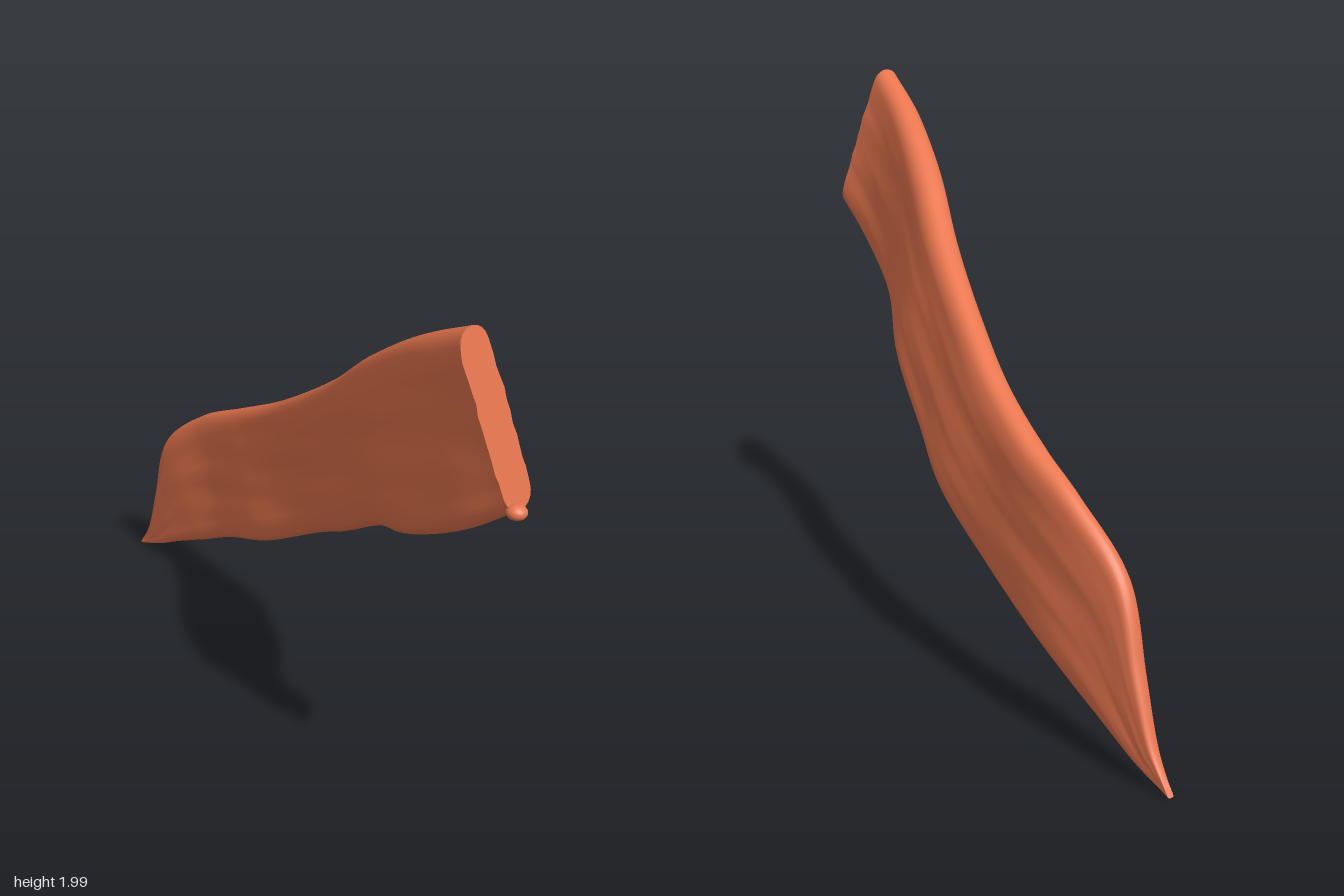
import * as THREE from 'three';

// Stations along the plank: lower edge xyz, upper edge xyz, half thickness
const STATIONS = [
  [[-0.99, 0.0, -0.955], [-0.975, 0.03, -0.95], 0.01],
  [[-0.86, 0.06, -0.88], [-0.925, 0.13, -0.915], 0.022],
  [[-0.76, 0.12, -0.82], [-0.865, 0.33, -0.865], 0.032],
  [[-0.6, 0.21, -0.72], [-0.78, 0.62, -0.79], 0.04],
  [[-0.45, 0.3, -0.62], [-0.58, 0.81, -0.67], 0.045],
  [[-0.22, 0.43, -0.42], [-0.38, 0.935, -0.52], 0.057],
  [[0.05, 0.62, -0.22], [-0.18, 1.075, -0.32], 0.057],
  [[0.21, 0.76, -0.02], [0.02, 1.25, -0.08], 0.058],
  [[0.41, 0.95, 0.23], [0.22, 1.45, 0.18], 0.062],
  [[0.59, 1.12, 0.56], [0.42, 1.68, 0.46], 0.066],
  [[0.8, 1.29, 0.78], [0.62, 1.87, 0.72], 0.062],
  [[0.965, 1.435, 0.885], [0.79, 1.99, 0.91], 0.056],
];
const ROWS = 110, SIDE = 24;

const curve = (points) => new THREE.CatmullRomCurve3(points, false, 'centripetal');
const lower = curve(STATIONS.map((s) => new THREE.Vector3(...s[0])));
const upper = curve(STATIONS.map((s) => new THREE.Vector3(...s[1])));

function halfThickness(t) {
  const f = t * (STATIONS.length - 1);
  const i = Math.min(Math.floor(f), STATIONS.length - 2);
  return THREE.MathUtils.lerp(STATIONS[i][2], STATIONS[i + 1][2], f - i);
}

// Shallow wavering grain running lengthwise
function grain(t, v, side) {
  const fade = Math.min(1, t * 3) * (1 - v * v);
  return 0.004 * fade * (Math.sin(9 * v + 7 * t + side) * Math.sin(13 * t + 2 * v)
    + 0.5 * Math.sin(21 * v - 9 * t + 2 * side));
}

// One closed rounded section: up the front face, down the back face
function section(t) {
  const lo = lower.getPoint(t), up = upper.getPoint(t);
  const width = up.clone().sub(lo);
  const mid = lo.clone().add(up).multiplyScalar(0.5);
  const along = lower.getTangent(t).add(upper.getTangent(t));
  const normal = along.cross(width).normalize();
  const h = halfThickness(t), ring = [];
  for (const side of [1, -1]) {
    for (let k = 0; k < SIDE; k++) {
      const v = side * Math.sin(Math.PI * (k / SIDE - 0.5));
      const depth = h * Math.sqrt(Math.max(0, 1 - v ** 10)) + grain(t, v, side);
      ring.push(mid.clone().addScaledVector(width, v / 2).addScaledVector(normal, side * depth));
    }
  }
  return ring;
}

function geometryFrom(points, index) {
  const g = new THREE.BufferGeometry().setFromPoints(points);
  g.setIndex(index);
  g.computeVertexNormals();
  return g;
}

function bodyGeometry() {
  const points = [], index = [], n = SIDE * 2;
  for (let i = 0; i <= ROWS; i++) points.push(...section(i / ROWS));
  for (let i = 0; i < ROWS; i++) {
    for (let j = 0; j < n; j++) {
      const a = i * n + j, b = i * n + (j + 1) % n;
      index.push(a, a + n, b, b, a + n, b + n);
    }
  }
  return geometryFrom(points, index);
}

function capGeometry(t, atEnd) {
  const ring = section(t), n = ring.length, index = [];
  const center = ring.reduce((s, p) => s.add(p), new THREE.Vector3()).divideScalar(n);
  for (let j = 0; j < n; j++) {
    const k = (j + 1) % n;
    if (atEnd) index.push(n, k, j);
    else index.push(n, j, k);
  }
  return geometryFrom([...ring, center], index);
}

export function createModel() {
  const group = new THREE.Group();
  group.name = 'twistedPlank';
  const material = new THREE.MeshStandardMaterial({ color: 0xe8764f });
  const add = (name, geometry) => {
    const mesh = new THREE.Mesh(geometry, material);
    mesh.name = name;
    group.add(mesh);
    return mesh;
  };

  add('plankBody', bodyGeometry());
  add('pointedTipCap', capGeometry(0, false));
  add('squareEndCap', capGeometry(1, true));

  // Small burr at the lower corner of the square end
  const burr = add('cornerBurr', new THREE.SphereGeometry(0.03, 20, 14));
  burr.position.set(0.955, 1.44, 0.915);
  burr.scale.set(1.1, 0.8, 1);

  return group;
}
